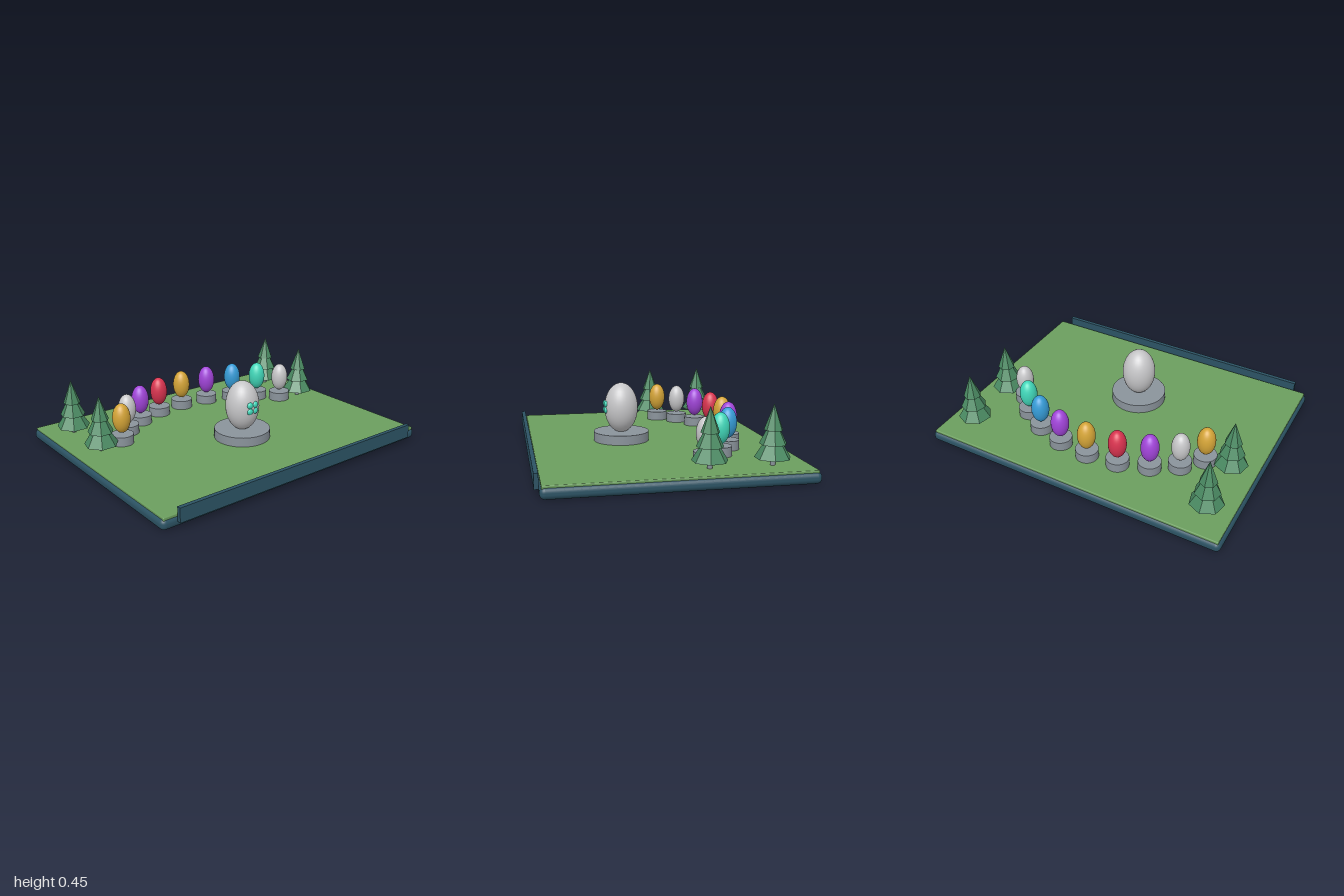
import * as THREE from 'three';
import { RoundedBoxGeometry } from 'three/addons/geometries/RoundedBoxGeometry.js';

const mat = (name, color, flatShading = false) => {
  const m = new THREE.MeshStandardMaterial({ color, flatShading });
  m.name = name;
  return m;
};

export function createModel() {
  const root = new THREE.Group();
  root.name = 'eggGarden';

  const navy = mat('navy', 0x2c5364);
  const grass = mat('grass', 0x6b9e5e);
  const stone = mat('stone', 0x8a939b);
  const pine = mat('pine', 0x4a8a62, true);
  const silver = mat('silver', 0xc6c6c8);
  const gold = mat('gold', 0xd4a437);
  const purple = mat('purple', 0xa044d8);
  const red = mat('red', 0xd8334f);
  const blue = mat('blue', 0x359bd6);
  const teal = mat('teal', 0x40d6b8);

  const add = (parent, name, geometry, material, x, y, z) => {
    const mesh = new THREE.Mesh(geometry, material);
    mesh.name = name;
    mesh.position.set(x, y, z);
    parent.add(mesh);
    return mesh;
  };

  // Base slab, lawn and front plate
  add(root, 'base', new RoundedBoxGeometry(2, 0.068, 1.545, 4, 0.03), navy, 0, 0.034, -0.012);
  add(root, 'lawn', new RoundedBoxGeometry(1.97, 0.03, 1.52, 2, 0.006), grass, 0, 0.063, -0.01);
  add(root, 'frontPlate', new THREE.BoxGeometry(1.81, 0.088, 0.025), navy, 0, 0.08, 0.772);

  // An egg standing on a round plinth
  const ball = new THREE.SphereGeometry(1, 32, 20);
  const eggOnPlinth = (name, material, x, z, plinthR, eggR, eggH, eggY) => {
    const group = new THREE.Group();
    group.name = name;
    group.position.set(x, 0, z);
    add(group, 'plinth', new THREE.CylinderGeometry(plinthR, plinthR, 0.062, 40), stone, 0, 0.107, 0);
    add(group, 'egg', ball, material, 0, eggY, 0).scale.set(eggR, eggH, eggR);
    root.add(group);
    return group;
  };

  // Large centre egg with a four-petal ornament
  const mainEgg = eggOnPlinth('centreEgg', silver, 0, 0.173, 0.179, 0.108, 0.161, 0.291);
  const ornament = new THREE.Group();
  ornament.name = 'ornament';
  ornament.position.set(0, 0.299, 0.104);
  for (const sx of [-1, 1]) {
    for (const sy of [-1, 1]) {
      add(ornament, 'petal', ball, teal, sx * 0.02, sy * 0.02, -0.004).scale.set(0.021, 0.021, 0.016);
    }
  }
  mainEgg.add(ornament);

  // Arc of small eggs
  [
    [-0.66, -0.208, gold], [-0.547, -0.33, silver], [-0.39, -0.425, purple],
    [-0.203, -0.487, red], [0, -0.508, gold], [0.203, -0.487, purple],
    [0.39, -0.425, blue], [0.545, -0.33, teal], [0.658, -0.208, silver],
  ].forEach(([x, z, material]) => {
    eggOnPlinth('smallEgg', material, x, z, 0.072, 0.057, 0.096, 0.243);
  });

  // Tiered pine trees: [radius, bottom, top]
  const tiers = [[0.106, 0.12, 0.29], [0.08, 0.2, 0.36], [0.055, 0.28, 0.43]];
  for (const x of [-0.82, 0.82]) {
    for (const z of [-0.187, -0.555]) {
      const tree = new THREE.Group();
      tree.name = 'tree';
      tree.position.set(x, 0, z);
      add(tree, 'trunk', new THREE.CylinderGeometry(0.015, 0.015, 0.06, 7), stone, 0, 0.1, 0);
      for (const [r, y0, y1] of tiers) {
        add(tree, 'foliage', new THREE.ConeGeometry(r, y1 - y0, 7), pine, 0, (y0 + y1) / 2, 0).rotation.y = Math.PI;
      }
      root.add(tree);
    }
  }
  return root;
}
